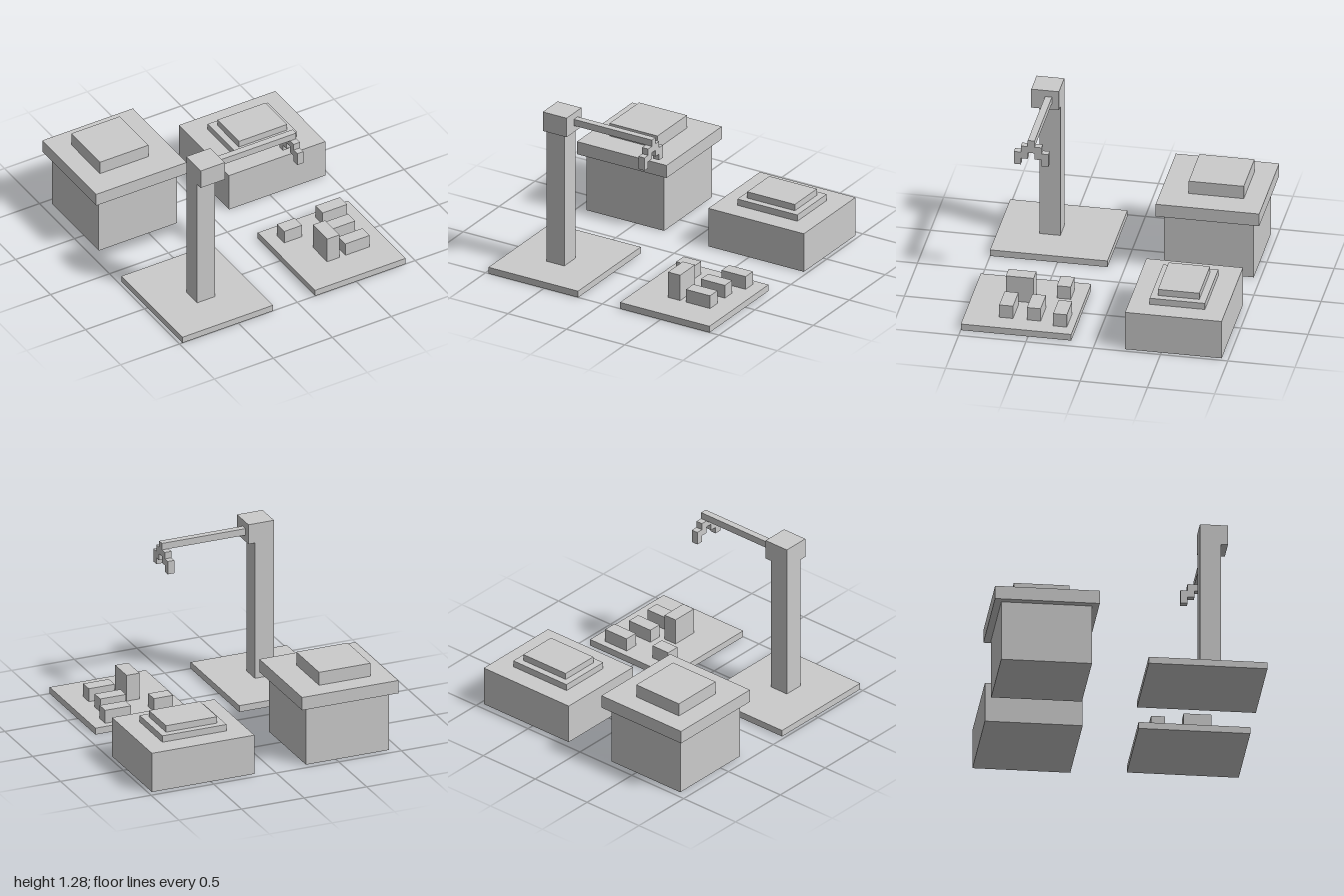
import * as THREE from 'three';

const material = new THREE.MeshStandardMaterial({ color: 0xcccccc, flatShading: true });

// Box given by its extents along each axis
function block(parent, name, [x0, x1], [y0, y1], [z0, z1]) {
  const mesh = new THREE.Mesh(new THREE.BoxGeometry(x1 - x0, y1 - y0, z1 - z0), material);
  mesh.position.set((x0 + x1) / 2, (y0 + y1) / 2, (z0 + z1) / 2);
  mesh.name = name;
  parent.add(mesh);
}

function section(parent, name) {
  const group = new THREE.Group();
  group.name = name;
  parent.add(group);
  return group;
}

export function createModel() {
  const model = new THREE.Group();
  model.name = 'buildingYard';

  // Tall building with overhanging roof
  const tall = section(model, 'tallBuilding');
  block(tall, 'tallBody', [-0.923, -0.26], [0, 0.462], [-0.949, -0.283]);
  block(tall, 'roofSlab', [-0.975, -0.207], [0.462, 0.564], [-1, -0.231]);
  block(tall, 'roofCap', [-0.821, -0.411], [0.564, 0.667], [-0.846, -0.436]);

  // Low building with stepped roof
  const low = section(model, 'lowBuilding');
  block(low, 'lowBody', [0.152, 0.97], [0, 0.308], [-0.949, -0.231]);
  block(low, 'lowerRoofStep', [0.306, 0.818], [0.308, 0.359], [-0.795, -0.385]);
  block(low, 'upperRoofStep', [0.358, 0.766], [0.359, 0.41], [-0.744, -0.436]);

  // Crane
  const crane = section(model, 'crane');
  block(crane, 'craneBase', [-0.975, -0.207], [0, 0.051], [0.128, 1]);
  block(crane, 'mast', [-0.667, -0.515], [0.051, 1.128], [0.538, 0.692]);
  block(crane, 'craneHead', [-0.667, -0.463], [1.128, 1.282], [0.538, 0.744]);
  block(crane, 'jib', [-0.463, 0.204], [1.179, 1.231], [0.59, 0.641]);

  // Stepped arch claw at the jib's end
  const claw = section(crane, 'claw');
  const u = 0.0513, clawX = [0.152, 0.204];
  block(claw, 'clawTop', clawX, [1.128, 1.179], [0.59, 0.641]);
  for (const side of [-1, 1]) {
    for (const step of [1, 2]) {
      const z = 0.6155 + side * step * u, top = 1.231 - step * u;
      block(claw, 'clawStep', clawX, [top - 2 * u, top], [z - u / 2, z + u / 2]);
    }
  }

  // Storage yard with crates
  const yard = section(model, 'storageYard');
  block(yard, 'yardBase', [0.152, 0.919], [0, 0.051], [0.179, 1]);
  block(yard, 'tallCrate', [0.406, 0.51], [0.051, 0.256], [0.538, 0.744]);
  const crates = [
    [[0.255, 0.406], [0.282, 0.385]],
    [[0.612, 0.818], [0.231, 0.333]],
    [[0.56, 0.766], [0.436, 0.538]],
    [[0.56, 0.766], [0.641, 0.744]],
  ];
  for (const [x, z] of crates) block(yard, 'crate', x, [0.051, 0.154], z);

  return model;
}
